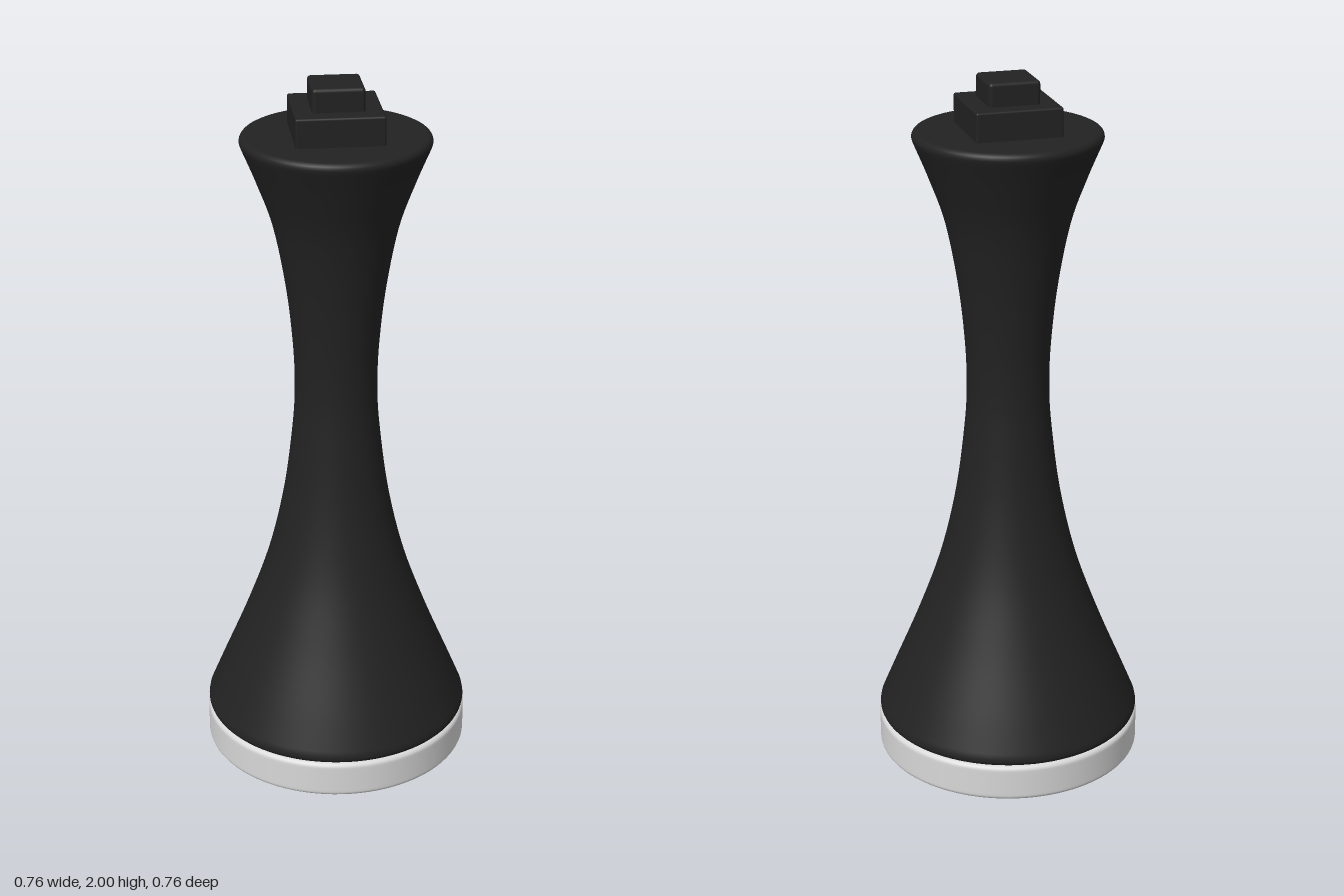
import * as THREE from 'three';
import { RoundedBoxGeometry } from 'three/addons/geometries/RoundedBoxGeometry.js';

const black = new THREE.MeshStandardMaterial({ color: 0x222222 });
black.name = 'black';
const paleGrey = new THREE.MeshStandardMaterial({ color: 0xd8d8d8 });
paleGrey.name = 'paleGrey';

const v = (x, y) => new THREE.Vector2(x, y);

// Quarter-round edge from angle a0 to a1 about (cx, cy)
function arc(cx, cy, r, a0, a1, steps = 6) {
  return Array.from({ length: steps + 1 }, (_, i) => {
    const a = a0 + (a1 - a0) * i / steps;
    return v(cx + r * Math.cos(a), cy + r * Math.sin(a));
  });
}

function addMesh(group, name, geometry, material, y = 0) {
  const mesh = new THREE.Mesh(geometry, material);
  mesh.name = name;
  mesh.position.y = y;
  group.add(mesh);
}

export function createModel() {
  const group = new THREE.Group();
  group.name = 'chessPiece';

  // Pale disc base with softened rims
  const b = 0.014;
  addMesh(group, 'baseDisc', new THREE.LatheGeometry([
    v(0, 0), v(0.36, 0),
    ...arc(0.38 - b, b, b, -Math.PI / 2, 0),
    v(0.38, 0.02), v(0.38, 0.085),
    ...arc(0.38 - b, 0.107 - b, b, 0, Math.PI / 2),
    v(0.36, 0.107), v(0, 0.107),
  ], 96), paleGrey);

  // Waisted body: flared foot, narrow neck, flared head
  const flank = new THREE.SplineCurve([
    v(0.376, 0.135), v(0.34, 0.222), v(0.262, 0.41), v(0.195, 0.6), v(0.149, 0.8),
    v(0.123, 1.0), v(0.116, 1.12), v(0.12, 1.25), v(0.138, 1.42),
    v(0.172, 1.6), v(0.217, 1.73), v(0.256, 1.825),
  ]).getPoints(60);
  addMesh(group, 'body', new THREE.LatheGeometry([
    v(0, 0.107), v(0.35, 0.107),
    ...arc(0.362, 0.123, 0.016, -Math.PI / 2, 0.4),
    ...flank,
    ...arc(0.243, 1.839, 0.017, -0.4, Math.PI / 2),
    v(0.235, 1.856), v(0, 1.856),
  ], 96), black);

  // Stepped square finial
  addMesh(group, 'lowerStep', new RoundedBoxGeometry(0.24, 0.09, 0.24, 3, 0.006), black, 1.891);
  addMesh(group, 'upperStep', new RoundedBoxGeometry(0.142, 0.08, 0.142, 3, 0.01), black, 1.96);

  return group;
}
